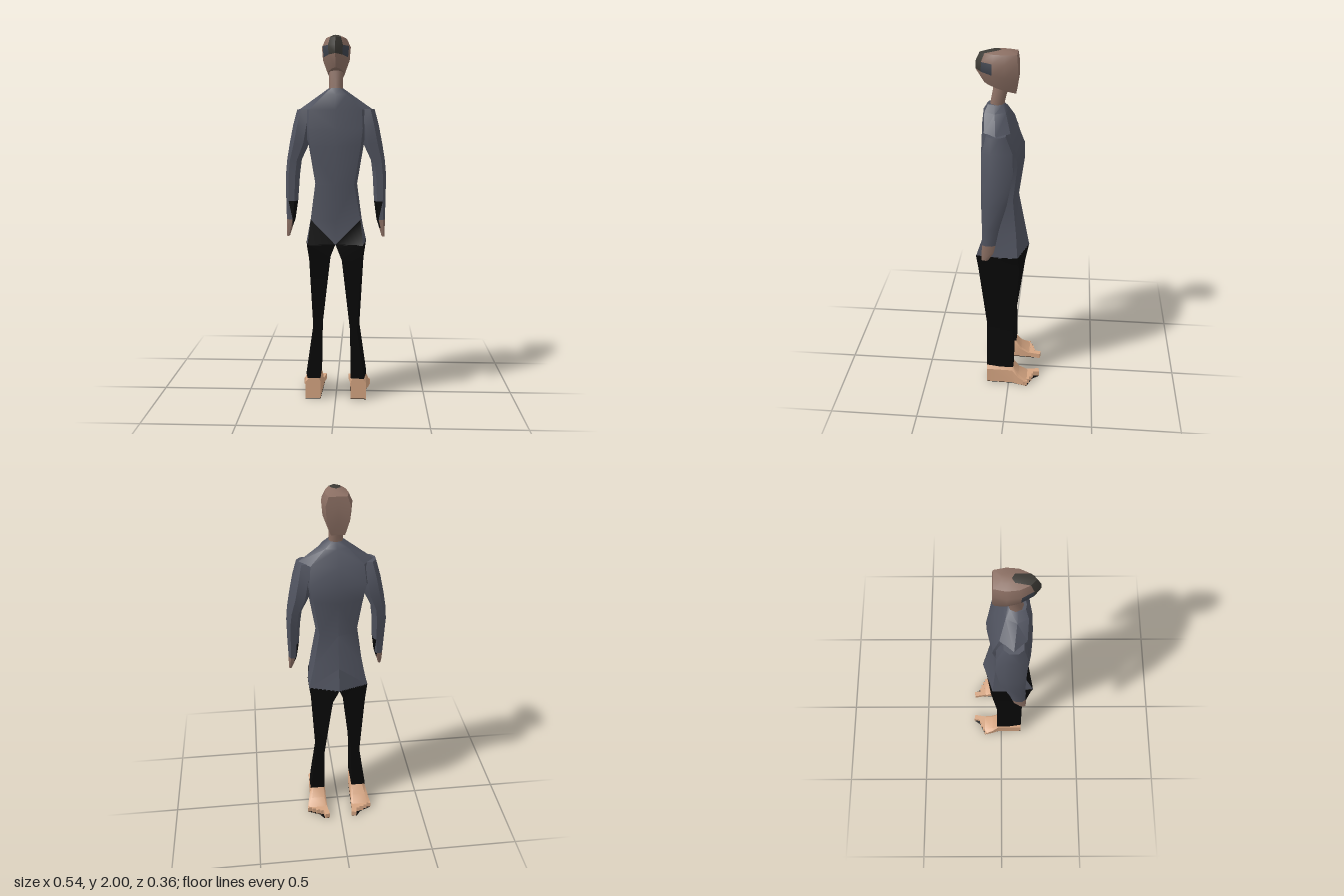
import * as THREE from 'three';
import { toCreasedNormals } from 'three/addons/utils/BufferGeometryUtils.js';

const material = (name, color) => {
  const m = new THREE.MeshStandardMaterial({ color, side: THREE.DoubleSide });
  m.name = name;
  return m;
};

// Skins closed rings of [x, y, z] points; paint(centroid, row) picks a material index.
function loft(name, rings, mats, paint = () => 0, crease = 0.6) {
  const buckets = mats.map(() => []);
  const tri = (row, a, b, c) => {
    const mid = [0, 1, 2].map(k => (a[k] + b[k] + c[k]) / 3);
    buckets[paint(mid, row)].push(...a, ...b, ...c);
  };
  const n = rings[0].length;
  for (let i = 0; i < rings.length - 1; i++) {
    for (let j = 0; j < n; j++) {
      const k = (j + 1) % n;
      const a = rings[i][j], b = rings[i][k], c = rings[i + 1][k], d = rings[i + 1][j];
      if (j < n / 2) { tri(i, a, b, c); tri(i, a, c, d); }
      else { tri(i, a, b, d); tri(i, b, c, d); }
    }
  }
  // end caps
  [[rings[0], true, 0], [rings[rings.length - 1], false, rings.length - 2]].forEach(([r, flip, row]) => {
    const c = [0, 1, 2].map(k => r.reduce((s, p) => s + p[k], 0) / n);
    r.forEach((p, j) => {
      const q = r[(j + 1) % n];
      if (flip) tri(row, q, p, c); else tri(row, p, q, c);
    });
  });
  const geo = new THREE.BufferGeometry();
  geo.setAttribute('position', new THREE.Float32BufferAttribute(buckets.flat(), 3));
  let start = 0;
  buckets.forEach((b, i) => {
    if (b.length) geo.addGroup(start, b.length / 3, i);
    start += b.length / 3;
  });
  const mesh = new THREE.Mesh(toCreasedNormals(geo, crease), mats);
  mesh.name = name;
  return mesh;
}

const mirrorRings = rings => rings.map(r => r.map(([x, y, z]) => [-x, y, z]).reverse());

// Completes a half ring that runs from the front centre to the back centre.
const symmetric = half => [...half, ...half.slice(1, -1).reverse().map(([x, y, z]) => [-x, y, z])];

export function createModel() {
  const model = new THREE.Group();
  const shirt = material('slate shirt', 0x50535f);
  const black = material('black cloth', 0x080808);
  const skin = material('light skin', 0xd5a582);
  const headSkin = material('brown skin', 0x8b6f63);
  const hair = material('dark hair', 0x3c3a35);
  const slate = material('dark slate', 0x3d424c);

  // Torso rows: y, front z, front side x z, side x z, back side x z, back z
  const torso = [
    [0.885, 0.155, 0.15, 0.18, 0.165, 0.05, 0.165, -0.05, -0.105],
    [1.02, 0.165, 0.135, 0.135, 0.14, 0.04, 0.135, -0.04, -0.08],
    [1.21, 0.165, 0.10, 0.135, 0.115, 0.05, 0.10, -0.02, -0.045],
    [1.42, 0.16, 0.135, 0.14, 0.15, 0.05, 0.13, -0.045, -0.075],
    [1.51, 0.155, 0.145, 0.14, 0.19, 0.05, 0.15, -0.04, -0.075],
    [1.61, 0.15, 0.14, 0.125, 0.2, 0.06, 0.14, -0.01, -0.035],
    [1.69, 0.14, 0.06, 0.13, 0.085, 0.075, 0.06, 0.02, 0.01],
    [1.722, 0.12, 0.025, 0.115, 0.04, 0.08, 0.025, 0.04, 0.03],
  ].map(([y, f, fx, fz, sx, sz, bx, bz, b]) =>
    symmetric([[0, y, f], [fx, y, fz], [sx, y, sz], [bx, y, bz], [0, y, b]]));
  // the lower front corners of the torso belong to the trousers
  model.add(loft('shirt', torso, [shirt, black],
    (c, row) => (row === 0 && c[1] < 0.95 && c[2] > 0.14 && Math.abs(c[0]) > 0.08 ? 1 : 0)));

  // Trouser leg rows: y, inner x, outer x, inner front z, outer front z, outer back z, inner back z
  const leg = [
    [0.12, 0.085, 0.17, 0.13, 0.13, -0.028, -0.028],
    [0.40, 0.08, 0.13, 0.13, 0.13, -0.028, -0.028],
    [0.80, 0.035, 0.152, 0.16, 0.17, -0.06, -0.085],
    [0.888, 0, 0.165, 0.155, 0.18, -0.05, -0.105],
  ].map(([y, xi, xo, fi, fo, bo, bi]) =>
    [[xi, y, fi], [xo - 0.012, y, fo], [xo, y, 0.05], [xo, y, bo], [xi, y, bi]]);

  // Arm rows: y, inner x, outer x, front z, back z
  const arm = [
    [0.93, 0.25, 0.266, 0.135, 0.10],
    [0.975, 0.237, 0.267, 0.135, 0.07],
    [1.02, 0.222, 0.267, 0.13, 0.06],
    [1.12, 0.208, 0.27, 0.13, 0.04],
    [1.26, 0.2, 0.272, 0.125, 0.0],
    [1.34, 0.19, 0.265, 0.125, -0.015],
    [1.43, 0.148, 0.25, 0.13, -0.03],
    [1.53, 0.13, 0.23, 0.13, -0.025],
    [1.612, 0.12, 0.208, 0.11, 0.01],
  ].map(([y, xi, xo, zf, zb]) => {
    const hx = (xo - xi) / 2, hz = (zf - zb) / 2;
    return [[-0.5, 1], [0.5, 1], [1, 0.45], [1, -0.45], [0.5, -1], [-0.5, -1], [-1, -0.45], [-1, 0.45]]
      .map(([u, v]) => [xi + hx * (1 + u), y, zb + hz * (1 + v)]);
  });
  // sleeve with a dark inner cuff, then the hand
  const armPaint = (c, row) => {
    if (row < 1) return 2;
    if (row < 3 && Math.abs(c[0]) < 0.238 && c[2] > 0.06) return 1;
    return row < 2 ? 2 : 0;
  };

  // Foot sections: z, inner x, outer x, height, from toes to heel
  const foot = [
    [-0.11, 0.075, 0.195, 0.035],
    [-0.06, 0.078, 0.185, 0.065],
    [-0.022, 0.08, 0.172, 0.12],
    [0.13, 0.085, 0.17, 0.12],
  ].map(([z, xi, xo, h]) =>
    [[xi, 0.003, z], [xo, 0.003, z], [xo, h * 0.8, z], [xo - 0.02, h, z], [xi + 0.01, h, z], [xi, h * 0.85, z]]);
  // Toes: centre x, width, tip z
  const toes = [[0.088, 0.03, -0.18], [0.113, 0.022, -0.145], [0.137, 0.024, -0.137], [0.16, 0.022, -0.124], [0.182, 0.022, -0.112]];

  for (const side of [1, -1]) {
    const label = side > 0 ? 'left' : 'right';
    const place = rings => (side > 0 ? rings : mirrorRings(rings));
    model.add(loft(label + 'TrouserLeg', place(leg), [black]));
    model.add(loft(label + 'Arm', place(arm), [shirt, black, headSkin], armPaint, 0.8));
    const footGroup = new THREE.Group();
    footGroup.name = label + 'Foot';
    footGroup.add(loft(label + 'FootBody', place(foot), [skin]));
    toes.forEach(([x, w, tip], i) => {
      const length = -0.09 - tip;
      const toe = new THREE.Mesh(new THREE.BoxGeometry(w, 0.032, length), skin);
      toe.position.set(side * x, 0.019, tip + length / 2);
      toe.rotation.y = side * (i ? 0.12 : 0.16);
      toe.name = 'toe';
      footGroup.add(toe);
    });
    // dark sole
    const outline = [[0.085, 0.13], [0.17, 0.13], [0.172, -0.022], [0.195, -0.11], [0.125, -0.142], [0.1, -0.178], [0.072, -0.178]];
    const shape = new THREE.Shape(outline.map(([x, z]) => new THREE.Vector2(side * x, z)));
    const sole = new THREE.Mesh(new THREE.ShapeGeometry(shape), black);
    sole.rotation.x = Math.PI / 2;
    sole.name = 'sole';
    footGroup.add(sole);
    model.add(footGroup);
  }

  // Neck, leaning toward the back
  const neck = [[1.69, 0.04, 0.075], [1.74, 0.037, 0.065], [1.85, 0.04, 0.04]].map(([y, r, cz]) =>
    Array.from({ length: 8 }, (_, i) => {
      const a = (i / 8) * Math.PI * 2;
      return [Math.sin(a) * r, y, cz + Math.cos(a) * r];
    }));
  model.add(loft('neck', neck, [headSkin], undefined, 1));

  // Head rows: half width, front z y, back z y
  const head = [
    [0.045, 0.135, 1.83, -0.03, 1.785],
    [0.072, 0.178, 1.90, -0.042, 1.86],
    [0.078, 0.175, 1.945, -0.04, 1.94],
    [0.058, 0.155, 1.985, -0.035, 1.985],
    [0.025, 0.10, 2.0, 0.0, 1.997],
  ].map(([w, zf, yf, zb, yb]) =>
    symmetric([[0, 1], [0.5, 0.86], [0.9, 0.6], [1, 0.3], [0.8, 0], [0, 0]].map(([u, t]) =>
      [w * u, yb + (yf - yb) * t, zb + (zf - zb) * t])));
  // dark front panel and slate temples
  model.add(loft('head', head, [headSkin, hair, slate], (c, row) => {
    const x = Math.abs(c[0]);
    if (row > 0 && c[2] > 0.06 && x < 0.034) return 1;
    return row === 1 && c[2] > 0.04 && x < 0.07 && c[1] > 1.905 ? 2 : 0;
  }, 0.7));

  return model;
}
